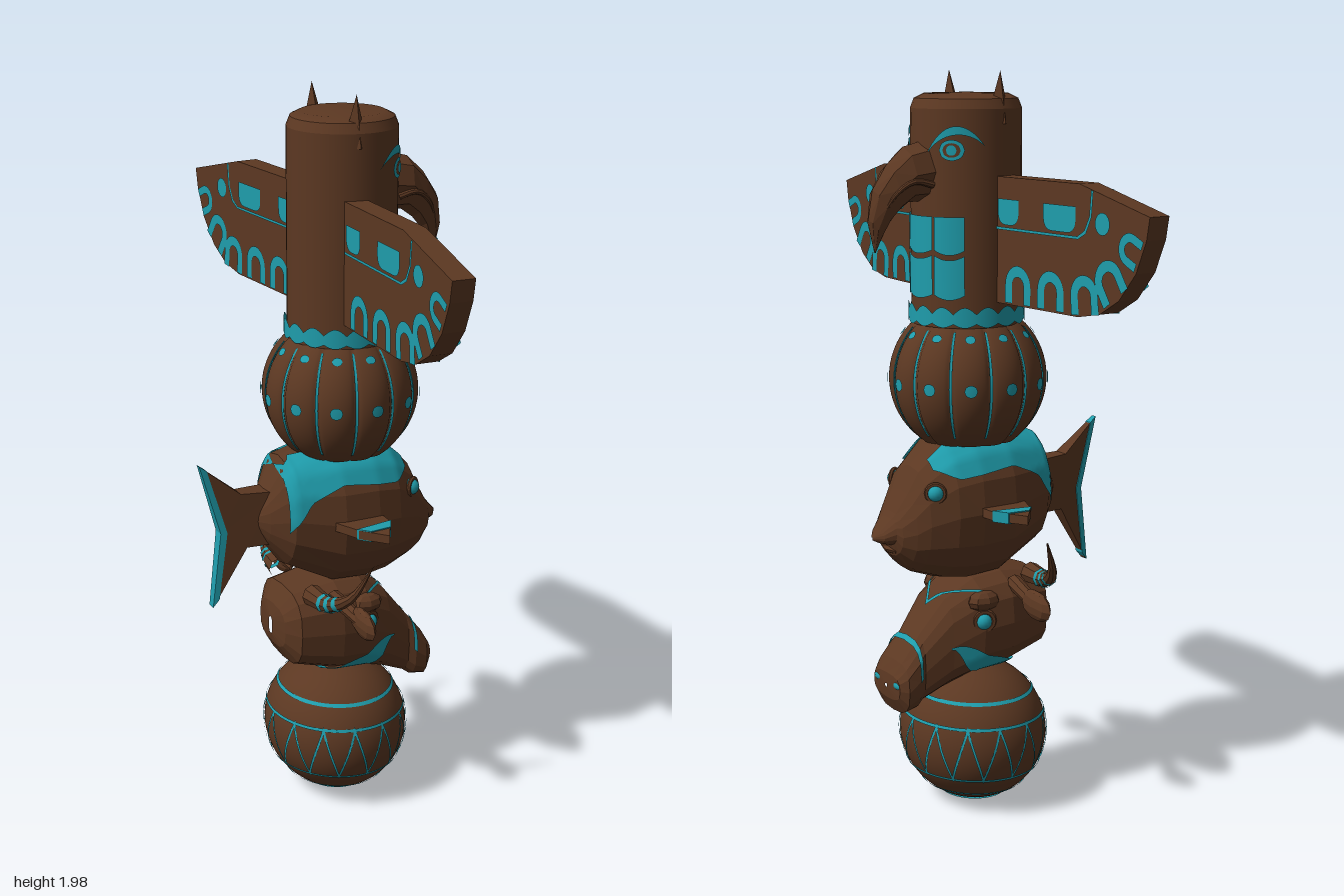
import * as THREE from 'three';

const TAU = Math.PI * 2, { sin, cos, sqrt, abs, max, min, asin, sign } = Math;
const CX = 0.06; // axis of the pole
const wood = new THREE.MeshStandardMaterial({ color: 0x5c3822 });
const carved = new THREE.MeshStandardMaterial({ color: 0x5c3822, flatShading: true });
const teal = new THREE.MeshStandardMaterial({ color: 0x1f9dac, side: THREE.DoubleSide });
const mix = THREE.MathUtils.lerp;
const range = (a, b, n) => Array.from({ length: n + 1 }, (_, i) => mix(a, b, i / n));

function add(parent, name, geo, mat, x = 0, y = 0, z = 0) {
  const m = new THREE.Mesh(geo, mat);
  m.name = name;
  m.position.set(x, y, z);
  parent.add(m);
  return m;
}
// Surface through fn(u, v) -> [x, y, z]
function grid(fn, us, vs) {
  const pos = [], idx = [], n = us.length;
  vs.forEach(v => us.forEach(u => pos.push(...fn(u, v))));
  for (let j = 0; j < vs.length - 1; j++) for (let i = 0; i < n - 1; i++) {
    const a = j * n + i, b = a + 1, c = a + n, d = c + 1;
    idx.push(a, c, b, b, c, d);
  }
  const g = new THREE.BufferGeometry();
  g.setAttribute('position', new THREE.Float32BufferAttribute(pos, 3));
  g.setIndex(idx);
  g.computeVertexNormals();
  return g;
}
// Painted area lying just above a surface, between lo(u) and hi(u)
function paint(parent, name, map, u0, u1, lo, hi, nu = 12, nv = 4, off = 0.004) {
  const f = g => (typeof g === 'function' ? g : () => g), l = f(lo), h = f(hi);
  return add(parent, name, grid((u, t) => map(u, mix(l(u), h(u), t), off), range(u0, u1, nu), range(0, 1, nv)), teal);
}
function dot(parent, name, map, u, v, ru, rv, off) {
  const e = x => rv * sqrt(max(0, 1 - ((x - u) / ru) ** 2));
  return paint(parent, name, map, u - ru, u + ru, x => v - e(x), x => v + e(x), 12, 2, off);
}
// Linear interpolation in rows sorted by their first value
function lookup(rows, x) {
  let i = 0;
  while (i < rows.length - 2 && x > rows[i + 1][0]) i++;
  const a = rows[i], b = rows[i + 1], t = min(1, max(0, (x - a[0]) / (b[0] - a[0])));
  return a.map((v, k) => mix(v, b[k], t));
}
const curveOf = pts => x => lookup(pts, x)[1];
// Head lofted along x from [x, bottom, top, halfWidth]; e < 1 makes it boxier
function head(rows, e, sides) {
  const corner = (a, x, off) => {
    const [, b, t, w] = lookup(rows, x), p = q => sign(q) * abs(q) ** e;
    return [x, (b + t) / 2 + ((t - b) / 2 + off) * p(sin(a)), (w + off) * p(cos(a))];
  };
  const map = (a, x, off = 0) => {
    const s = TAU / sides, k = Math.floor(a / s + 1e-6), f = a / s - k;
    const p = corner(k * s, x, off), q = corner((k + 1) * s, x, off);
    return p.map((v, i) => mix(v, q[i], f));
  };
  const side = sz => (x, y, off) => {
    const [, b, t] = lookup(rows, x), s = max(-1, min(1, (y - (b + t) / 2) / ((t - b) / 2)));
    const p = map(asin(sign(s) * abs(s) ** (1 / e)), x, off);
    return [p[0], p[1], p[2] * sz];
  };
  return { map, side, geo: grid(map, range(0, TAU, sides), rows.map(r => r[0])) };
}
// Tube that narrows along its path
function taper(pts, r0, r1, t0 = 0, t1 = 1) {
  const c = new THREE.CatmullRomCurve3(pts.map(p => new THREE.Vector3(...p)));
  const sub = new THREE.CatmullRomCurve3(range(t0, t1, 8).map(t => c.getPoint(t)));
  const g = new THREE.TubeGeometry(sub, 10, 1, 8), p = g.attributes.position, v = new THREE.Vector3();
  for (let i = 0; i < p.count; i++) {
    const t = Math.floor(i / 9) / 10, o = sub.getPointAt(t);
    v.fromBufferAttribute(p, i).sub(o).multiplyScalar(mix(r0, r1, mix(t0, t1, t))).add(o);
    p.setXYZ(i, v.x, v.y, v.z);
  }
  g.computeVertexNormals();
  return g;
}
const poly = pts => new THREE.Shape(pts.map(p => new THREE.Vector2(...p)));
const slab = (shape, d) => new THREE.ExtrudeGeometry(shape, { depth: d, bevelEnabled: false, curveSegments: 10 }).translate(0, 0, -d / 2);
function group(parent, name) {
  const g = new THREE.Group();
  g.name = name;
  parent.add(g);
  return g;
}

function ball(root) {
  const g = group(root, 'baseBall');
  const map = (th, y, off = 0) => {
    const k = sqrt(max(0, 1 - ((y - 0.204) / 0.197) ** 2));
    return [0.043 + (0.197 * k + off) * cos(th), y + (y < 0.03 ? -off / 2 : 0), (0.216 * k + off) * sin(th)];
  };
  add(g, 'ball', grid(map, range(0, TAU, 48), range(0, Math.PI, 32).map(a => 0.204 - 0.197 * cos(a))), wood);
  [0.325, 0.265, 0.115, 0.06].forEach(y => paint(g, 'ring', map, 0, TAU, y - 0.004, y + 0.004, 64, 1));
  const zig = th => mix(0.117, 0.263, abs((((th * 14) / TAU) % 1) * 2 - 1));
  paint(g, 'zigzag', map, 0, TAU, th => zig(th) - 0.011, th => zig(th) + 0.011, 168, 1);
  paint(g, 'bottomDisc', map, 0, TAU, 0.008, 0.026, 32, 3);
}

function bull(root) {
  const g = group(root, 'bullHead');
  const h = head([[-0.157, 0.51, 0.56, 0.01], [-0.15, 0.48, 0.6, 0.08], [-0.12, 0.43, 0.65, 0.125], [0, 0.395, 0.67, 0.145],
    [0.085, 0.385, 0.66, 0.135], [0.165, 0.355, 0.61, 0.105], [0.24, 0.32, 0.515, 0.08], [0.26, 0.305, 0.49, 0.088],
    [0.295, 0.3, 0.445, 0.088], [0.315, 0.34, 0.41, 0.07], [0.318, 0.37, 0.38, 0.005]], 0.7, 16);
  add(g, 'head', h.geo, carved);
  paint(g, 'muzzleBand', h.map, 0, Math.PI, 0.252, 0.262, 32, 1, 0.005);
  const brow = a => 0.19 - 0.12 * abs(a - Math.PI / 2);
  paint(g, 'foreheadLine', h.map, 0.5, Math.PI - 0.5, a => brow(a) - 0.005, a => brow(a) + 0.005, 32, 1, 0.006);
  for (const s of [1, -1]) {
    paint(g, 'cheekPaint', h.side(s), -0.06, 0.175, curveOf([[-0.06, 0.402], [0.12, 0.41], [0.175, 0.48]]),
      curveOf([[-0.06, 0.408], [0.175, 0.488]]), 24, 6, 0.006);
    add(g, 'nostril', new THREE.SphereGeometry(0.018, 10, 8), teal, 0.307, 0.385, s * 0.05).scale.set(0.7, 0.7, 1.2);
    add(g, 'eye', new THREE.SphereGeometry(0.023, 14, 10), teal, 0.085, 0.545, s * 0.122);
    add(g, 'eyelid', new THREE.TorusGeometry(0.026, 0.008, 6, 14), carved, 0.085, 0.547, s * 0.126).rotation.y = s * 0.35;
    add(g, 'browRidge', new THREE.SphereGeometry(0.04, 8, 6), carved, 0.08, 0.6, s * 0.115).scale.set(1.2, 0.7, 0.8);
    const horn = [[-0.08, 0.65, 0.1 * s], [-0.07, 0.655, 0.19 * s], [-0.04, 0.7, 0.262 * s], [0, 0.79, 0.295 * s]];
    add(g, 'horn', taper(horn, 0.03, 0.002), carved);
    [0.22, 0.32, 0.42].forEach(t => add(g, 'hornBand', taper(horn, 0.033, 0.004, t, t + 0.05), teal));
    add(g, 'earStalk', taper([[-0.02, 0.635, 0.11 * s], [-0.01, 0.625, 0.17 * s], [0, 0.61, 0.24 * s]], 0.022, 0.018), carved);
    const ear = add(g, 'ear', new THREE.SphereGeometry(1, 8, 6), carved, 0, 0.608, s * 0.247);
    ear.scale.set(0.02, 0.04, 0.066);
    ear.rotation.x = s * 0.1;
  }
}

function fish(root) {
  const g = group(root, 'fish');
  const h = head([[-0.21, 0.84, 0.88, 0.02], [-0.18, 0.79, 0.93, 0.06], [-0.13, 0.72, 1.03, 0.115], [0, 0.652, 1.055, 0.155],
    [0.1, 0.645, 1.055, 0.157], [0.17, 0.655, 1.035, 0.145], [0.24, 0.68, 0.97, 0.115], [0.27, 0.7, 0.91, 0.095],
    [0.3, 0.735, 0.855, 0.07], [0.31, 0.765, 0.84, 0.055], [0.335, 0.772, 0.81, 0.035], [0.355, 0.782, 0.79, 0.004]], 0.9, 16);
  add(g, 'body', h.geo, carved);
  add(g, 'lowerLip', new THREE.SphereGeometry(1, 8, 6), carved, 0.28, 0.752, 0).scale.set(0.035, 0.016, 0.05);
  const taperTail = geo => {
    const p = geo.attributes.position;
    for (let i = 0; i < p.count; i++) p.setZ(i, p.getZ(i) * mix(0.2, 1, min(1, max(0, (p.getX(i) + 0.36) / 0.2))));
    geo.computeVertexNormals();
    return geo;
  };
  add(g, 'tail', taperTail(slab(poly([[-0.36, 1.035], [-0.305, 0.84], [-0.33, 0.63], [-0.235, 0.79], [-0.15, 0.79],
    [-0.15, 0.94], [-0.25, 0.945]]), 0.07)), carved);
  add(g, 'tailEdge', taperTail(slab(poly([[-0.362, 1.037], [-0.308, 0.84], [-0.333, 0.628], [-0.315, 0.65], [-0.29, 0.84],
    [-0.342, 1.022]]), 0.082)), teal);
  for (const s of [1, -1]) {
    paint(g, 'backPaint', h.side(s), -0.145, 0.215, curveOf([[-0.145, 0.84], [-0.09, 0.925], [0, 0.965], [0.16, 0.945], [0.215, 0.965]]),
      curveOf([[-0.145, 1], [-0.12, 1.03], [0, 1.048], [0.12, 1.042], [0.17, 1.025], [0.215, 0.985]]), 36, 8, 0.007);
    add(g, 'eye', new THREE.SphereGeometry(0.022, 14, 10), teal, 0.222, 0.913, s * 0.105);
    add(g, 'eyelid', new THREE.TorusGeometry(0.024, 0.006, 6, 14), carved, 0.224, 0.913, s * 0.108).rotation.y = s * 0.6;
    const fin = group(g, 'fin');
    fin.position.y = 0.855;
    fin.rotation.x = Math.PI / 2;
    fin.scale.y = s;
    add(fin, 'finBlade', slab(poly([[-0.04, 0.12], [0.11, 0.12], [0.105, 0.2], [0.055, 0.287], [0, 0.22]]), 0.024), carved);
    add(fin, 'finStripe', slab(poly([[-0.004, 0.215], [0.107, 0.198], [0.084, 0.24], [0.022, 0.245]]), 0.03), teal);
  }
}

function gourd(root) {
  const g = group(root, 'ribbedGourd'), N = 12;
  const map = (th, y, off = 0) => {
    const r = 0.21 * sqrt(max(0, 1 - ((y - 1.19) / 0.208) ** 2)) * (0.93 + 0.07 * sqrt(abs(cos(N * th / 2)))) + off;
    return [CX - 0.004 + r * cos(th), y, r * sin(th)];
  };
  add(g, 'gourd', grid(map, range(0, TAU, N * 12), range(1.025, 1.365, 20)), wood);
  add(g, 'gourdBottom', new THREE.CylinderGeometry(0.115, 0.1, 0.03, 24), wood, CX, 1.035, 0);
  for (let i = 0; i < N; i++) {
    const th = i * TAU / N, groove = th + TAU / N / 2;
    dot(g, 'dot', map, th, 1.187, 0.08, 0.016);
    dot(g, 'upperDot', map, th, 1.315, 0.08, 0.009);
    paint(g, 'grooveLine', map, groove - 0.02, groove + 0.02, 1.05, 1.33, 2, 16);
  }
}

function bird(root) {
  const g = group(root, 'bird');
  const map = (th, y, off = 0) => [CX + (0.145 + off) * cos(th), y, (0.145 + off) * sin(th)];
  const profile = [[0, 1.34], [0.145, 1.34], [0.145, 1.34], [0.145, 1.895], [0.145, 1.895], [0.135, 1.92], [0.135, 1.92], [0.11, 1.932], [0, 1.935]];
  add(g, 'body', new THREE.LatheGeometry(profile.map(p => new THREE.Vector2(...p)), 40), wood, CX);
  paint(g, 'collar', map, 0, TAU, th => 1.352 - 0.01 * abs(sin(th * 8)), th => 1.377 + 0.018 * abs(sin(th * 8)), 128, 2, 0.008);
  // chest feathers, three columns in two rows
  for (const [a, b] of [[-0.98, -0.42], [-0.38, 0.38], [0.42, 0.98]]) {
    const arc = th => 0.012 * (1 - (2 * (th - a) / (b - a) - 1) ** 2);
    paint(g, 'chestFeather', map, a, b, th => 1.425 - arc(th), th => 1.527 - arc(th));
    paint(g, 'chestFeather', map, a, b, th => 1.54 - arc(th), 1.625);
  }
  const beak = [[0.17, 1.82, 0.17, 1.66, 0.065], [0.25, 1.8, 0.235, 1.66, 0.06], [0.3, 1.755, 0.27, 1.635, 0.05],
    [0.34, 1.695, 0.295, 1.605, 0.036], [0.353, 1.62, 0.315, 1.57, 0.02], [0.336, 1.535, 0.333, 1.535, 0.002]];
  add(g, 'beak', grid((a, i) => {
    const [tx, ty, bx, by, w] = beak[i], s = (1 + sin(a)) / 2;
    return [mix(bx, tx, s), mix(by, ty, s), w * cos(a)];
  }, range(0, TAU, 8), range(0, 5, 5)), carved);
  const lip = s => taper([[0.195, 1.705, 0.056 * s], [0.25, 1.715, 0.057 * s], [0.295, 1.685, 0.045 * s], [0.325, 1.63, 0.024 * s]], 0.009, 0.004);

  const arch = (R, r, h) => {
    const s = new THREE.Shape().moveTo(-R, 0).lineTo(-R, h).absarc(0, h, R, Math.PI, 0, true);
    return s.lineTo(R, 0).lineTo(r, 0).lineTo(r, h).absarc(0, h, r, 0, Math.PI, false).lineTo(-r, 0);
  };
  const cup = (a, b) => new THREE.Shape().moveTo(a, 1.672).lineTo(a, 1.64).quadraticCurveTo(a, 1.607, a + 0.035, 1.607)
    .lineTo(b - 0.035, 1.607).quadraticCurveTo(b, 1.607, b, 1.64).lineTo(b, 1.672);
  for (const s of [1, -1]) {
    const th = 0.76 * s;
    dot(g, 'eyeRing', map, th, 1.793, 0.23, 0.026);
    const white = dot(g, 'eyeGap', map, th, 1.793, 0.16, 0.018, 0.006);
    white.material = carved.clone();
    white.material.side = THREE.DoubleSide;
    dot(g, 'pupil', map, th, 1.793, 0.09, 0.013, 0.008);
    const top = t => 1.853 - 0.075 * (abs(t) - 0.85) ** 2 / 0.36;
    paint(g, 'brow', map, 0.25 * s, 1.35 * s, t => top(t) - 0.022 * sin((abs(t) - 0.25) / 1.1 * Math.PI), top, 16, 2);
    add(g, 'beakLip', lip(s), carved);
    const ear = add(g, 'earTuft', new THREE.ConeGeometry(0.036, 0.13, 4), carved, 0.035, 1.925, s * 0.118);
    ear.rotation.x = s * 0.08;

    // wing, drawn with its span along local x
    const mirror = group(g, s > 0 ? 'leftWing' : 'rightWing');
    mirror.scale.z = s;
    const wing = group(mirror, 'wing');
    wing.position.x = 0.037;
    wing.rotation.y = -Math.PI / 2 - 0.065;
    add(wing, 'wingBoard', slab(poly([[0.08, 1.405], [0.47, 1.405], [0.55, 1.42], [0.62, 1.46], [0.68, 1.53], [0.715, 1.61],
      [0.725, 1.665], [0.47, 1.727], [0.08, 1.727]]), 0.06), carved);
    for (const z of [0.033, -0.033]) {
      const mark = (name, shape, x = 0, y = 0, rot = 0) => {
        add(wing, name, new THREE.ShapeGeometry(shape, 10), teal, x, y, z).rotation.z = rot;
      };
      [[0.233, 1.41, 0], [0.365, 1.41, 0], [0.5, 1.413, 0.1], [0.612, 1.465, 0.6], [0.692, 1.57, 1.15]].forEach(
        ([x, y, r], i) => mark('featherArch', i < 4 ? arch(0.052, 0.024, 0.045) : arch(0.04, 0.018, 0.035), x, y, r));
      mark('wingCup', cup(0.335, 0.46));
      mark('wingCup', cup(0.15, 0.235));
      mark('wingDot', new THREE.Shape().absarc(0.56, 1.637, 0.027, 0, TAU));
      mark('wingLine', poly([[0.526, 1.713], [0.52, 1.65], [0.5, 1.61], [0.47, 1.594], [0.14, 1.594], [0.14, 1.601],
        [0.467, 1.601], [0.493, 1.616], [0.512, 1.652], [0.518, 1.715]]));
    }
  }
}

export function createModel() {
  const root = new THREE.Group();
  root.name = 'totemPole';
  [ball, bull, fish, gourd, bird].forEach(build => build(root));
  return root;
}
